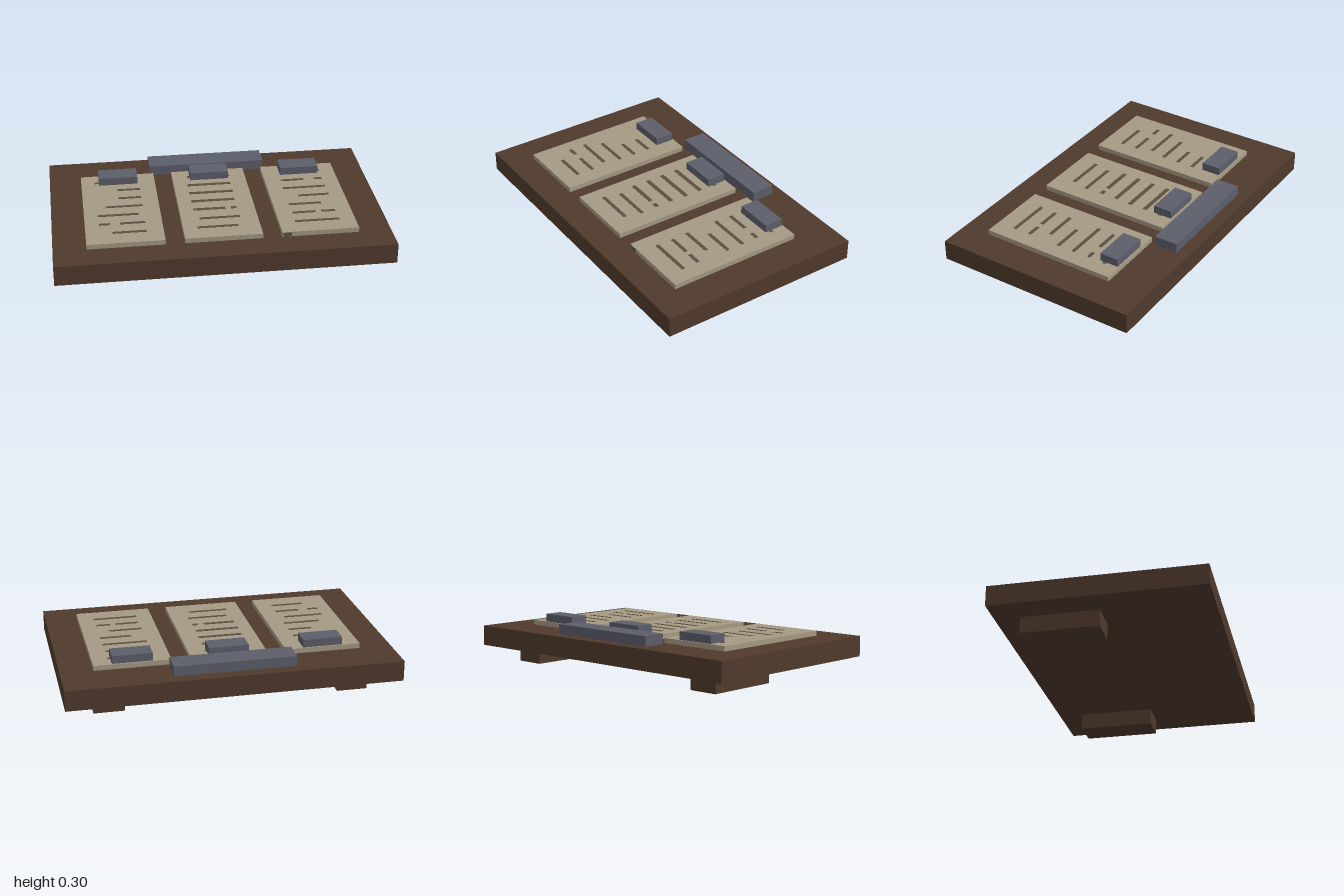
import * as THREE from 'three';

const mat = (name, color) => new THREE.MeshStandardMaterial({ name, color });

export function createModel() {
  const wood = mat('dark wood', 0x503a2c);
  const paper = mat('aged paper', 0xa59a83);
  const metal = mat('slate metal', 0x5c5e6b);
  const ink = mat('faded ink', 0x5a5041);
  const model = new THREE.Group();
  model.name = 'noticeBoard';

  // Box given by its lower and upper limits on each axis
  const block = (name, material, [x0, x1], [y0, y1], [z0, z1], parent = model) => {
    const mesh = new THREE.Mesh(new THREE.BoxGeometry(x1 - x0, y1 - y0, z1 - z0), material);
    mesh.position.set((x0 + x1) / 2, (y0 + y1) / 2, (z0 + z1) / 2);
    mesh.name = name;
    parent.add(mesh);
    return mesh;
  };

  // Board and its two supports
  block('board', wood, [-1, 1], [0.1, 0.224], [-0.633, 0.633]);
  for (const s of [-1, 1]) {
    block('support', wood, [s * 0.733 - 0.092, s * 0.733 + 0.092], [0, 0.1], [-0.482, -0.016]);
  }

  // Header bar behind the sheets
  block('headerBar', metal, [-0.365, 0.365], [0.224, 0.285], [-0.56, -0.416]);

  // Written strokes on each sheet, row by row, as start and end along x
  const rowZ = [-0.29, -0.182, -0.077, 0.028, 0.132, 0.236, 0.341];
  const strokes = [
    [[[-0.72, -0.69]], [[-0.585, -0.445]], [[-0.588, -0.445]], [[-0.67, -0.445]],
      [[-0.72, -0.475]], [[-0.72, -0.655], [-0.595, -0.445]], [[-0.645, -0.445]]],
    [[[-0.135, -0.11], [0.11, 0.13]], [[-0.145, 0.125]], [[-0.145, 0.125]], [[-0.145, 0.12]],
      [[-0.145, 0.05], [0.085, 0.12]], [[-0.12, 0.125]], [[-0.145, 0.1]]],
    [[[0.69, 0.71]], [[0.445, 0.59], [0.655, 0.705]], [[0.44, 0.71]], [[0.52, 0.71]],
      [[0.44, 0.64]], [[0.445, 0.585], [0.62, 0.705]], [[0.44, 0.71]]],
  ];

  // Three sheets, each held by a clip
  strokes.forEach((rows, i) => {
    const x = (i - 1) * 0.574;
    const sheet = new THREE.Group();
    sheet.name = 'noticeSheet';
    model.add(sheet);
    block('sheet', paper, [x - 0.23, x + 0.23], [0.224, 0.254], [-0.383, 0.462], sheet);
    block('clip', metal, [x - 0.12, x + 0.12], [0.254, 0.302], [-0.374, -0.256], sheet);
    rows.forEach((row, r) => row.forEach(([a, b]) => {
      const half = i === 1 && r < 5 ? 0.013 : 0.011;
      const z = i === 1 && r < 5 ? rowZ[r] - 0.008 : rowZ[r];
      block('writtenStroke', ink, [a, b], [0.253, 0.2552], [z - half, z + half], sheet);
    }));
  });

  // Stained front corner of the last sheet
  block('cornerStain', ink, [0.35, 0.4], [0.226, 0.25], [0.46, 0.4635]);
  return model;
}
